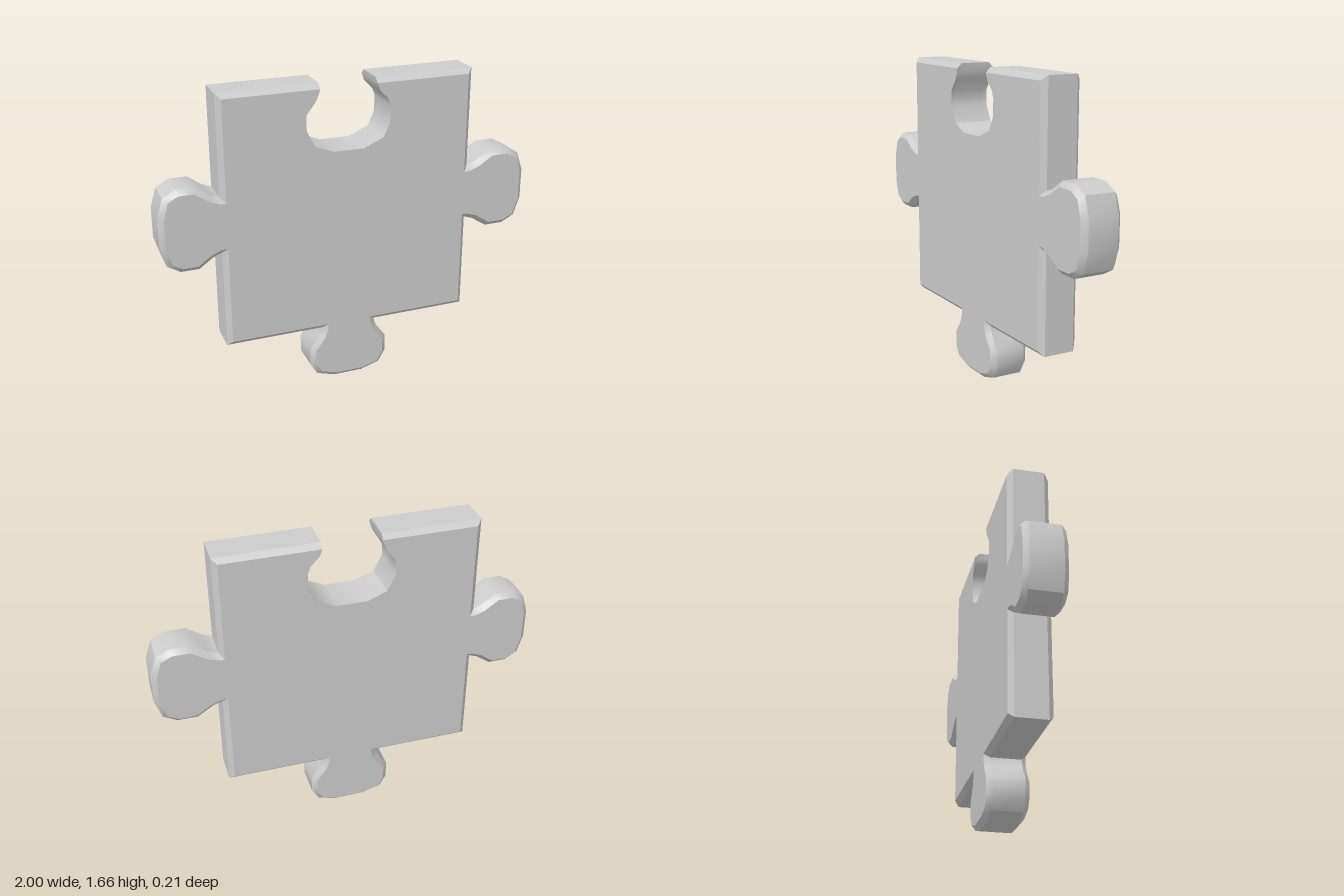
import * as THREE from 'three';
import { toCreasedNormals } from 'three/addons/utils/BufferGeometryUtils.js';

const HALF = 0.107;   // half thickness
const BEVEL = 0.026;  // chamfer width
const CREASE = 0.72;
const BODY = { x0: -0.69, x1: 0.66, y0: 0.31, y1: 1.66 };

const shapeOf = (pts) => new THREE.Shape(pts.map(([x, y]) => new THREE.Vector2(x, y)));

// Square plate with a socket in its top edge; only the four outer edges are chamfered
function bodyGeometry() {
  const { x0, x1, y0, y1 } = BODY;
  const socket = [
    [0.13, y1], [0.132, 1.63], [0.145, 1.595], [0.19, 1.55], [0.205, 1.51], [0.2, 1.42],
    [0.165, 1.35], [0.06, 1.305], [-0.1, 1.305], [-0.2, 1.345], [-0.243, 1.43],
    [-0.243, 1.51], [-0.19, 1.58], [-0.175, 1.62], [-0.172, y1],
  ];
  const shape = shapeOf([[x0, y0], [x1, y0], [x1, y1], ...socket, [x0, y1]]);
  const geo = new THREE.ExtrudeGeometry(shape, { depth: 3, steps: 3, bevelEnabled: false });
  const layers = [-HALF, BEVEL - HALF, HALF - BEVEL, HALF];
  const pos = geo.attributes.position;
  for (let i = 0; i < pos.count; i++) {
    const layer = Math.round(pos.getZ(i));
    const inset = layer === 0 || layer === 3 ? BEVEL : 0;
    pos.setXYZ(i,
      THREE.MathUtils.clamp(pos.getX(i), x0 + inset, x1 - inset),
      THREE.MathUtils.clamp(pos.getY(i), y0 + inset, y1 - inset),
      layers[layer]);
  }
  return toCreasedNormals(geo, CREASE);
}

// Knob pointing along +x from the plate edge; its root is sunk to meet the plate's chamfer
function tabGeometry(length) {
  const k = length / 0.31;
  const side = [
    [-2 * BEVEL, 0.147], [0, 0.148], [0.045 * k, 0.165], [0.12 * k, 0.218],
    [0.215 * k, 0.218], [0.28 * k, 0.18], [length, 0.08],
  ];
  const lower = side.map(([d, w]) => [d, -w]);
  const geo = new THREE.ExtrudeGeometry(shapeOf([...lower, ...side.reverse()]), {
    depth: 2 * (HALF - BEVEL), bevelEnabled: true, bevelSegments: 1,
    bevelThickness: BEVEL, bevelSize: BEVEL, bevelOffset: -BEVEL,
  });
  geo.translate(0, 0, BEVEL - HALF);
  return toCreasedNormals(geo, CREASE);
}

export function createModel() {
  const group = new THREE.Group();
  const material = new THREE.MeshStandardMaterial({ color: 0xcccccc });
  const add = (name, geo, x = 0, y = 0, angle = 0) => {
    const mesh = new THREE.Mesh(geo, material);
    mesh.name = name;
    mesh.position.set(x, y, 0);
    mesh.rotation.z = angle;
    group.add(mesh);
  };

  add('body', bodyGeometry());
  add('leftTab', tabGeometry(0.34), BODY.x1, 0.98);
  add('rightTab', tabGeometry(0.31), BODY.x0, 0.988, Math.PI);
  add('bottomTab', tabGeometry(0.31), -0.016, BODY.y0, -Math.PI / 2);
  return group;
}
